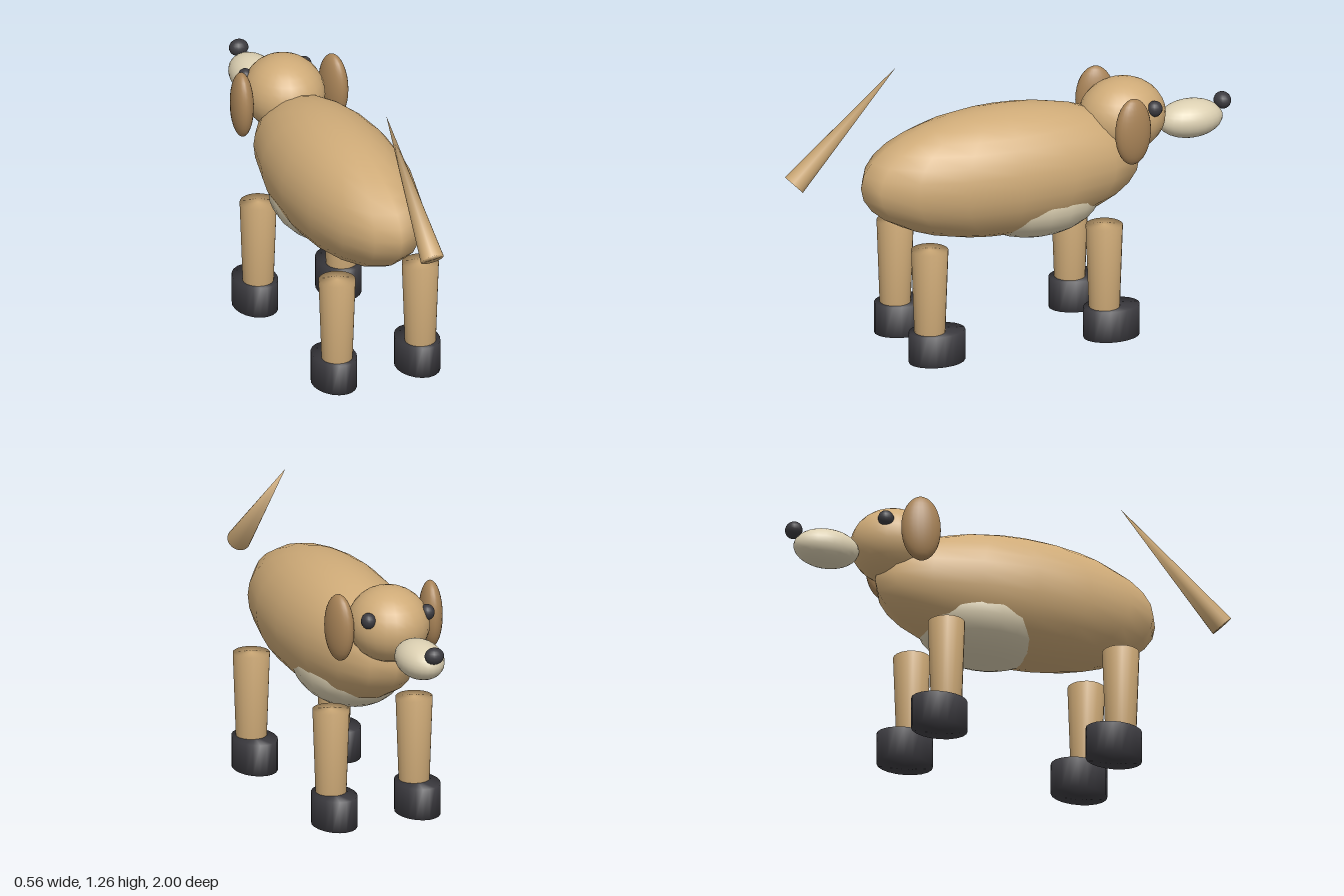
import * as THREE from 'three';
import { mergeVertices } from 'three/addons/utils/BufferGeometryUtils.js';

const paint = (name, color) => {
  const m = new THREE.MeshStandardMaterial({ color });
  m.name = name;
  return m;
};

// Share vertices across rims so shading rolls softly over the edges
function soften(geometry) {
  geometry.deleteAttribute('uv');
  geometry.deleteAttribute('normal');
  const merged = mergeVertices(geometry);
  merged.computeVertexNormals();
  return merged;
}

export function createModel() {
  const tan = paint('tan', 0xcfab78);
  const brown = paint('brown', 0xa98458);
  const cream = paint('cream', 0xdcd0b2);
  const dark = paint('charcoal', 0x3c3b40);

  const dog = new THREE.Group();
  dog.name = 'dog';

  function add(name, geometry, material, x, y, z) {
    const mesh = new THREE.Mesh(geometry, material);
    mesh.name = name;
    mesh.position.set(x, y, z);
    dog.add(mesh);
    return mesh;
  }

  function ellipsoid(name, material, [x, y, z], [rx, ry, rz], w = 24, h = 16) {
    return add(name, new THREE.SphereGeometry(1, w, h).scale(rx, ry, rz), material, x, y, z);
  }

  // Torso and pale chest
  ellipsoid('body', tan, [0, 0.735, 0.033], [0.263, 0.279, 0.63], 16, 16);
  ellipsoid('belly', cream, [0, 0.605, -0.11], [0.223, 0.178, 0.3], 20, 16);

  // Head, facing -z
  ellipsoid('head', tan, [0, 0.9, -0.512], [0.17, 0.16, 0.185]);
  ellipsoid('muzzle', cream, [0, 0.838, -0.817], [0.095, 0.081, 0.143]);
  ellipsoid('nose', dark, [0, 0.897, -0.963], [0.042, 0.036, 0.036], 16, 12);

  for (const side of [1, -1]) {
    const label = side > 0 ? 'right' : 'left';
    ellipsoid(label + 'Eye', dark, [side * 0.135, 0.957, -0.603], [0.031, 0.034, 0.034], 16, 12);
    const ear = ellipsoid(label + 'Ear', brown, [side * 0.21, 0.9, -0.476], [0.048, 0.145, 0.084]);
    ear.rotation.y = side * 0.2;

    // Tapered legs with the paws set slightly forward
    for (const [end, z] of [['Front', -0.354], ['Back', 0.431]]) {
      const leg = soften(new THREE.CylinderGeometry(0.078, 0.064, 0.4, 20));
      add(label + end + 'Leg', leg, tan, side * 0.191, 0.298, z);
      const paw = soften(new THREE.CylinderGeometry(1, 1, 0.135, 20).scale(0.091, 1, 0.122));
      add(label + end + 'Paw', paw, dark, side * 0.191, 0.0675, z - 0.032);
    }
  }

  // Tail, tip leaning forward over the back
  const tail = add('tail', soften(new THREE.ConeGeometry(0.05, 0.65, 20)), tan, 0, 1.026, 0.735);
  tail.rotation.x = -Math.PI / 4;

  return dog;
}
